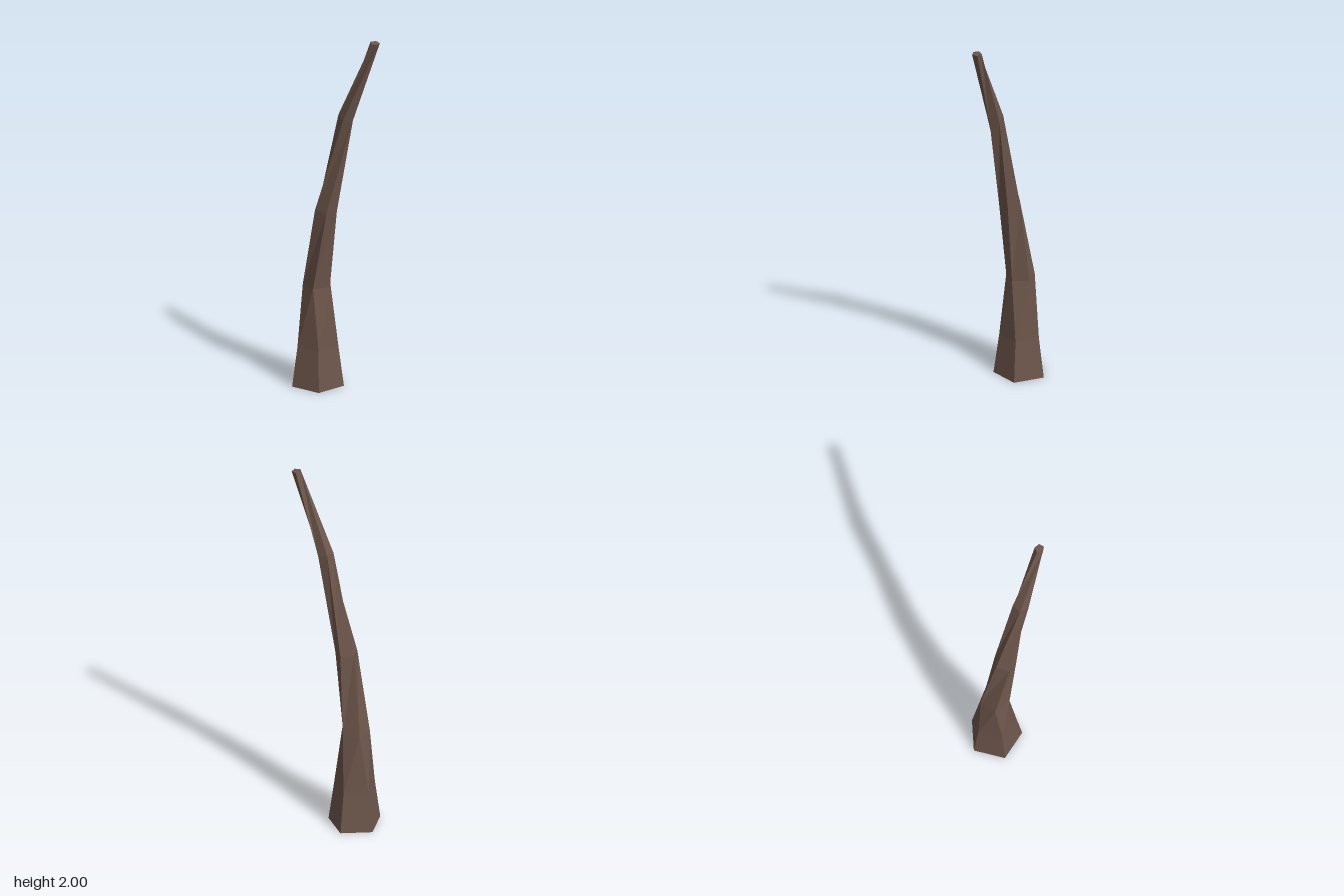
import * as THREE from 'three';

const SIDES = 5;

// Cross-sections: centre x, y, z, radius, twist in degrees, forward slope
const RINGS = [
  [0, 0, -0.128, 0.142, 36, 0],
  [0, 0.22, -0.128, 0.112, 36, 0],
  [0, 0.555, -0.127, 0.078, 15, 0],
  [0, 0.995, -0.06, 0.06, 36, -0.12],
  [0.033, 1.545, 0.073, 0.043, 81, -0.33],
  [0.086, 1.996, 0.243, 0.026, 130, -0.1],
];

function ringPoints([cx, cy, cz, r, twist, slope]) {
  const points = [];
  for (let i = 0; i < SIDES; i++) {
    const a = THREE.MathUtils.degToRad(twist) + (i / SIDES) * Math.PI * 2;
    const dz = Math.cos(a) * r;
    points.push([cx + Math.sin(a) * r, cy + dz * slope, cz + dz]);
  }
  return points;
}

// Joins the rings into a closed, faceted, tapering shaft
function shaftGeometry(rings) {
  const positions = rings.flatMap((ring) => ringPoints(ring).flat());
  const index = [];
  const last = (rings.length - 1) * SIDES;
  for (let k = 0; k < rings.length - 1; k++) {
    for (let i = 0; i < SIDES; i++) {
      const j = (i + 1) % SIDES;
      const a = k * SIDES + i, b = k * SIDES + j;
      index.push(a, b, b + SIDES, a, b + SIDES, a + SIDES);
    }
  }
  // End caps
  for (let i = 1; i < SIDES - 1; i++) {
    index.push(0, i + 1, i);
    index.push(last, last + i, last + i + 1);
  }
  const indexed = new THREE.BufferGeometry();
  indexed.setAttribute('position', new THREE.Float32BufferAttribute(positions, 3));
  indexed.setIndex(index);
  const geometry = indexed.toNonIndexed();
  geometry.computeVertexNormals();
  return geometry;
}

export function createModel() {
  const group = new THREE.Group();
  group.name = 'curvedTrunk';
  const bark = new THREE.MeshStandardMaterial({ color: 0x6d564b, flatShading: true });
  const trunk = new THREE.Mesh(shaftGeometry(RINGS), bark);
  trunk.name = 'trunk';
  group.add(trunk);
  return group;
}
